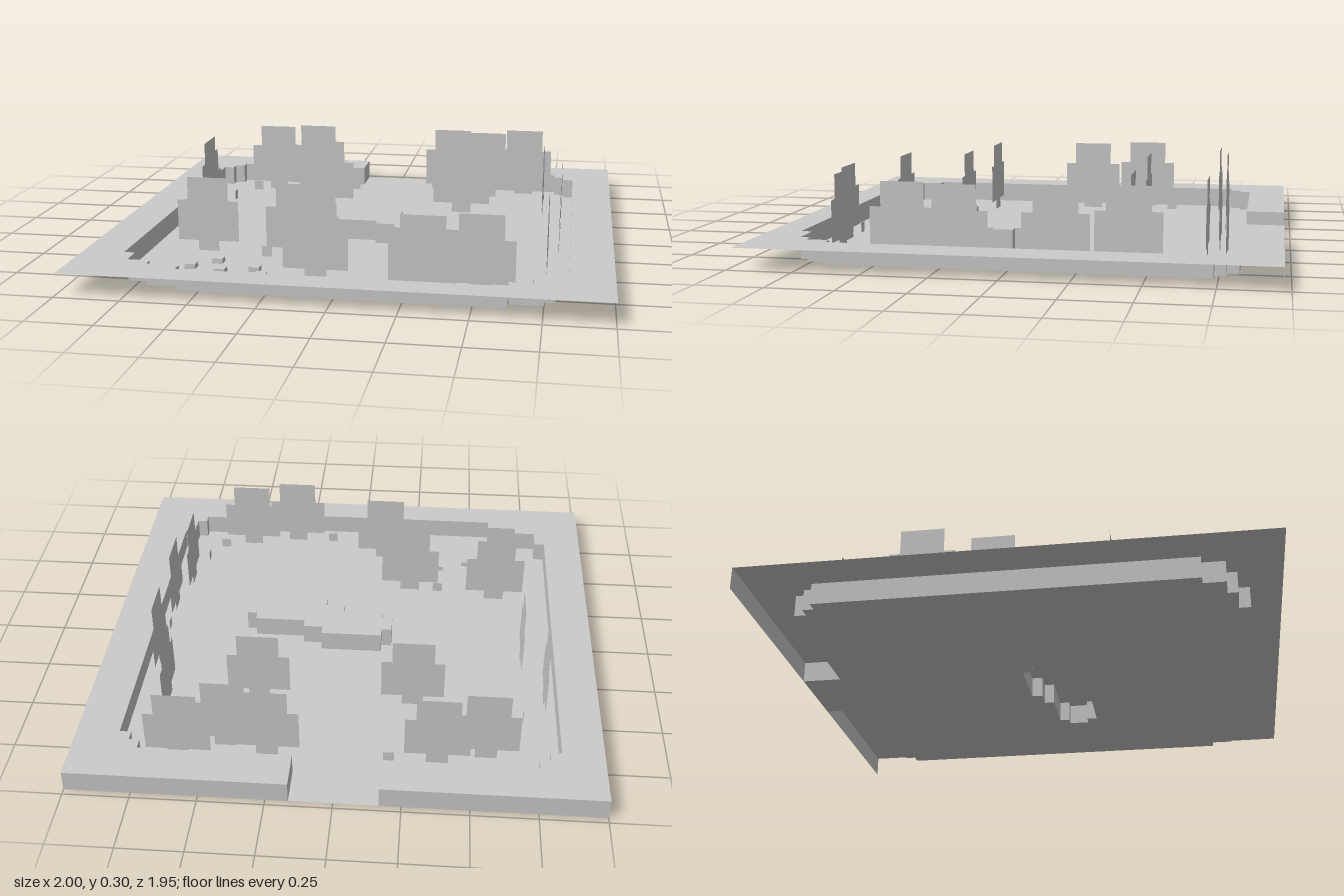
import * as THREE from 'three';

const RIM = 0.083, CELL = 0.042, BACK = -0.975, FRONT = 0.975;

// Sunken basin outline [x, z], starting and ending at the gap in the back edge
const basin = [
  [-0.167, BACK], [-0.167, -0.82], [-0.755, -0.82], [-0.755, -0.775], [-0.797, -0.775], [-0.797, -0.733],
  [-0.84, -0.733], [-0.84, 0.684], [-0.797, 0.684], [-0.797, 0.77], [-0.71, 0.77], [-0.71, 0.81],
  [-0.585, 0.81], [-0.585, 0.855], [0.625, 0.855], [0.625, 0.81], [0.75, 0.81], [0.75, 0.77],
  [0.79, 0.77], [0.79, 0.684], [0.834, 0.684], [0.834, -0.733], [0.79, -0.733], [0.79, -0.775],
  [0.75, -0.775], [0.75, -0.82], [0.165, -0.82], [0.165, BACK],
];

// Raised island outline [x, z]
const island = [
  [-0.167, -0.02], [-0.125, -0.02], [-0.125, -0.063], [0.125, -0.063], [0.125, -0.02], [0.205, -0.02],
  [0.205, 0.02], [0.413, 0.02], [0.413, 0.06], [0.455, 0.06], [0.455, 0.14], [0.413, 0.14],
  [0.413, 0.182], [0.122, 0.182], [0.122, 0.14], [0.042, 0.14], [0.042, 0.1], [-0.125, 0.1],
  [-0.125, 0.06], [-0.167, 0.06],
];

const material = new THREE.MeshStandardMaterial({ color: 0xcccccc, side: THREE.DoubleSide });

function add(parent, name, geometry) {
  const mesh = new THREE.Mesh(geometry, material);
  mesh.name = name;
  parent.add(mesh);
  return mesh;
}

const toVectors = (points) => points.map(([x, z]) => new THREE.Vector2(x, -z));

// Horizontal sheet from an outline in x and z
function sheet(points, y, hole) {
  const shape = new THREE.Shape(toVectors(points));
  if (hole) shape.holes.push(new THREE.Path(toVectors(hole)));
  return new THREE.ShapeGeometry(shape).rotateX(-Math.PI / 2).translate(0, y, 0);
}

// Vertical ribbon from the floor up to the rim along an outline
function ribbon(points) {
  const pos = [];
  for (let i = 0; i < points.length - 1; i++) {
    const [ax, az] = points[i], [bx, bz] = points[i + 1];
    pos.push(ax, 0, az, bx, 0, bz, bx, RIM, bz, ax, 0, az, bx, RIM, bz, ax, RIM, az);
  }
  const geometry = new THREE.BufferGeometry();
  geometry.setAttribute('position', new THREE.Float32BufferAttribute(pos, 3));
  geometry.computeVertexNormals();
  return geometry;
}

// Stepped flat tree: trunk, wide crown, narrow top
function treeGeometry() {
  const half = [[0.042, 0], [0.042, 0.042], [0.125, 0.042], [0.125, 0.208], [0.083, 0.208], [0.083, 0.303]];
  const mirrored = half.map(([x, y]) => [-x, y]).reverse();
  return new THREE.ShapeGeometry(new THREE.Shape([...half, ...mirrored].map(([x, y]) => new THREE.Vector2(x, y))));
}

export function createModel() {
  const model = new THREE.Group();
  model.name = 'clearing';

  // Ground: sunken floor, raised rim, and the walls between them
  add(model, 'floor', sheet(basin, 0, island));
  add(model, 'rim', sheet([[-1, BACK], ...basin, [1, BACK], [1, FRONT], [-1, FRONT]], RIM));
  add(model, 'basinWall', ribbon(basin));
  add(model, 'backWallRight', ribbon([[-1, BACK], [-0.167, BACK]]));
  add(model, 'backWallLeft', ribbon([[0.165, BACK], [1, BACK]]));

  // Island, open underneath
  add(model, 'islandTop', sheet(island, RIM));
  add(model, 'islandWall', ribbon([...island, island[0]]));

  // Trees facing the front
  const tree = treeGeometry();
  const facingFront = [
    [-0.56, -0.69], [-0.375, -0.73], [0.272, -0.73], [0.438, -0.69], [0.605, -0.77], [-0.27, -0.395],
    [0.345, -0.395], [-0.605, 0.353], [-0.23, 0.4], [-0.105, 0.653], [0.52, 0.725], [0.313, 0.77],
  ];
  // Trees facing the sides
  const facingSide = [
    [-0.795, -0.335], [-0.71, -0.085], [0.706, -0.42], [0.79, -0.167], [0.79, 0.207], [0.75, 0.413],
  ];
  // Tiny sprouts on the floor
  const sproutsFront = [[-0.65, -0.645], [-0.192, -0.733], [-0.355, 0.395], [0.645, 0.684], [0.147, 0.77]];
  const sproutsSide = [[-0.71, -0.46], [0.706, -0.628], [0.79, 0.04], [0.706, 0.58], [-0.13, 0.54]];
  const sprout = new THREE.PlaneGeometry(CELL, CELL).translate(0, CELL / 2, 0);

  const plant = (name, geometry, spots, turn) => {
    for (const [x, z] of spots) {
      const mesh = add(model, name, geometry);
      mesh.position.set(x, 0, z);
      mesh.rotation.y = turn;
    }
  };
  plant('tree', tree, facingFront, 0);
  plant('tree', tree, facingSide, Math.PI / 2);
  plant('sprout', sprout, sproutsFront, 0);
  plant('sprout', sprout, sproutsSide, Math.PI / 2);

  // Low square stones
  const stone = new THREE.BoxGeometry(CELL, 0.02, CELL).translate(0, 0.01, 0);
  plant('stone', stone, [[-0.61, 0.58], [-0.525, 0.497], [-0.482, 0.622], [-0.357, 0.58], [-0.315, 0.665]], 0);

  return model;
}
